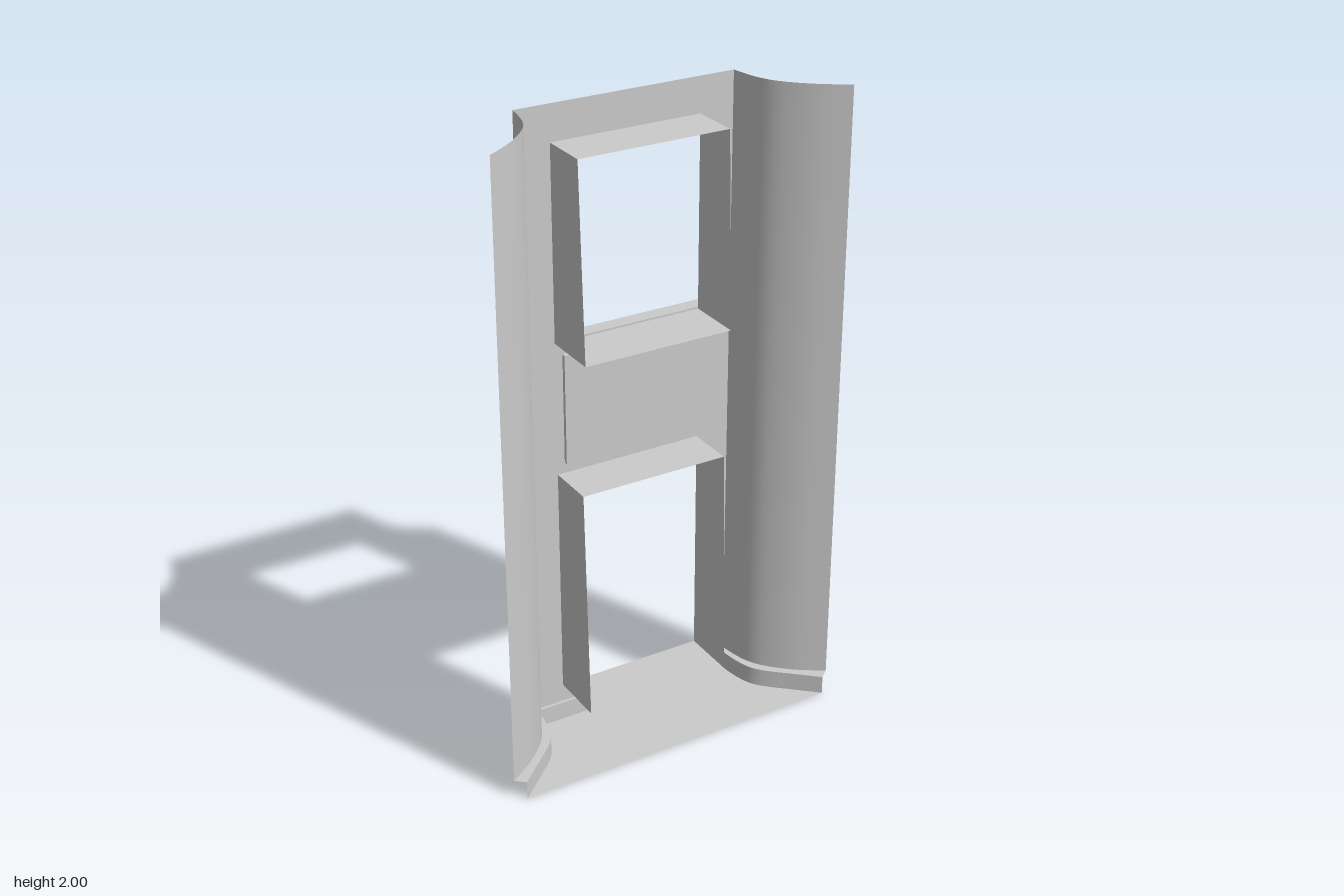
import * as THREE from 'three';

const material = new THREE.MeshStandardMaterial({ color: 0xcccccc, side: THREE.DoubleSide });
const BACK = -0.13, LEDGE = 0.06, TOP = 2;

// Quad strip between two rows of [x, y, z] points
function strip(a, b, flat = false) {
  const n = a.length, index = [];
  for (let i = 0; i < n - 1; i++) index.push(i, i + 1, n + i, i + 1, n + i + 1, n + i);
  let g = new THREE.BufferGeometry();
  g.setAttribute('position', new THREE.Float32BufferAttribute([...a, ...b].flat(), 3));
  g.setIndex(index);
  if (flat) g = g.toNonIndexed();
  g.computeVertexNormals();
  return g;
}

// Closed rectangle of corners at given depths for its top and bottom
function rectRow(w, y0, y1, zTop, zBottom) {
  return [[-w, y0, zBottom], [-w, y1, zTop], [w, y1, zTop], [w, y0, zBottom], [-w, y0, zBottom]];
}

function rectPath(w, y0, y1) {
  return new THREE.Path(rectRow(w, y0, y1, 0, 0).slice(0, 4).map(([x, y]) => new THREE.Vector2(x, y)));
}

export function createModel() {
  const group = new THREE.Group();
  const add = (name, geometry) => {
    const mesh = new THREE.Mesh(geometry, material);
    mesh.name = name;
    group.add(mesh);
    return mesh;
  };

  // Half profiles in plan (x, z), from the back corner to the flared front edge
  const smooth = (pts) => new THREE.SplineCurve(pts.map((p) => new THREE.Vector2(...p))).getPoints(14);
  const outer = smooth([[0.35, BACK], [0.357, -0.085], [0.371, -0.03], [0.402, 0.025], [0.472, 0.095], [0.56, 0.155]]);
  const inner = smooth([[0.335, -0.12], [0.34, -0.065], [0.357, 0.005], [0.39, 0.053], [0.458, 0.115], [0.53, 0.18]]);
  const row = (pts, side, y) => {
    const r = pts.map((p) => [side * p.x, y, p.y]);
    return side < 0 ? r.reverse() : r;
  };

  // Curved side wings with the inset plinth below them
  for (const [side, label] of [[1, 'left'], [-1, 'right']]) {
    add(label + 'Wing', strip(row(outer, side, TOP), row(outer, side, LEDGE)));
    add(label + 'Ledge', strip(row(outer, side, LEDGE), row(inner, side, LEDGE)));
    add(label + 'Plinth', strip(row(inner, side, LEDGE), row(inner, side, 0)));
  }

  // Ledge and plinth along the back
  const backRow = (x, y, z) => [[-x, y, z], [x, y, z]];
  add('backLedge', strip(backRow(0.35, LEDGE, BACK), backRow(0.335, LEDGE, -0.12)));
  add('backPlinth', strip(backRow(0.335, LEDGE, -0.12), backRow(0.335, 0, -0.12)));

  // Floor
  const floor = new THREE.Shape([
    ...inner, ...inner.map((p) => new THREE.Vector2(-p.x, p.y)).reverse(),
  ]);
  add('floor', new THREE.ShapeGeometry(floor).rotateX(Math.PI / 2));

  // Wall with two window openings and a panel recess
  const windows = { upperWindow: [0.24, 1.29, 1.89], lowerWindow: [0.24, 0.865 - 0.745, 0.865] };
  const recess = [0.216, 0.9, 1.25];
  const wall = new THREE.Shape([[-0.35, LEDGE], [0.35, LEDGE], [0.35, TOP], [-0.35, TOP]]
    .map((p) => new THREE.Vector2(...p)));
  wall.holes.push(...Object.values(windows).map((w) => rectPath(...w)), rectPath(...recess));
  add('wall', new THREE.ShapeGeometry(wall).rotateY(Math.PI).translate(0, 0, BACK));

  // Deep window reveals
  for (const [name, w] of Object.entries(windows)) {
    add(name + 'Reveal', strip(rectRow(...w, BACK, BACK), rectRow(...w, 0.025, 0.05), true));
  }

  // Shallow recessed panel between the windows
  const panelZ = BACK + 0.012;
  add('panelEdge', strip(rectRow(...recess, BACK, BACK), rectRow(...recess, panelZ, panelZ), true));
  add('panel', new THREE.PlaneGeometry(0.432, 0.35).rotateY(Math.PI).translate(0, 1.075, panelZ));

  // Moulded sill under the upper window: profile as (depth behind wall, height)
  const profile = new THREE.Shape([
    [0, 1.22], [0.012, 1.222], [0.02, 1.238], [0.034, 1.245], [0.038, 1.257],
    [0.055, 1.26], [0.055, 1.288], [0.048, 1.296], [0, 1.296],
  ].map((p) => new THREE.Vector2(...p)));
  const sill = new THREE.ExtrudeGeometry(profile, { depth: 0.54, bevelEnabled: false });
  add('sill', sill.rotateY(Math.PI / 2).translate(-0.27, 0, BACK));

  return group;
}
